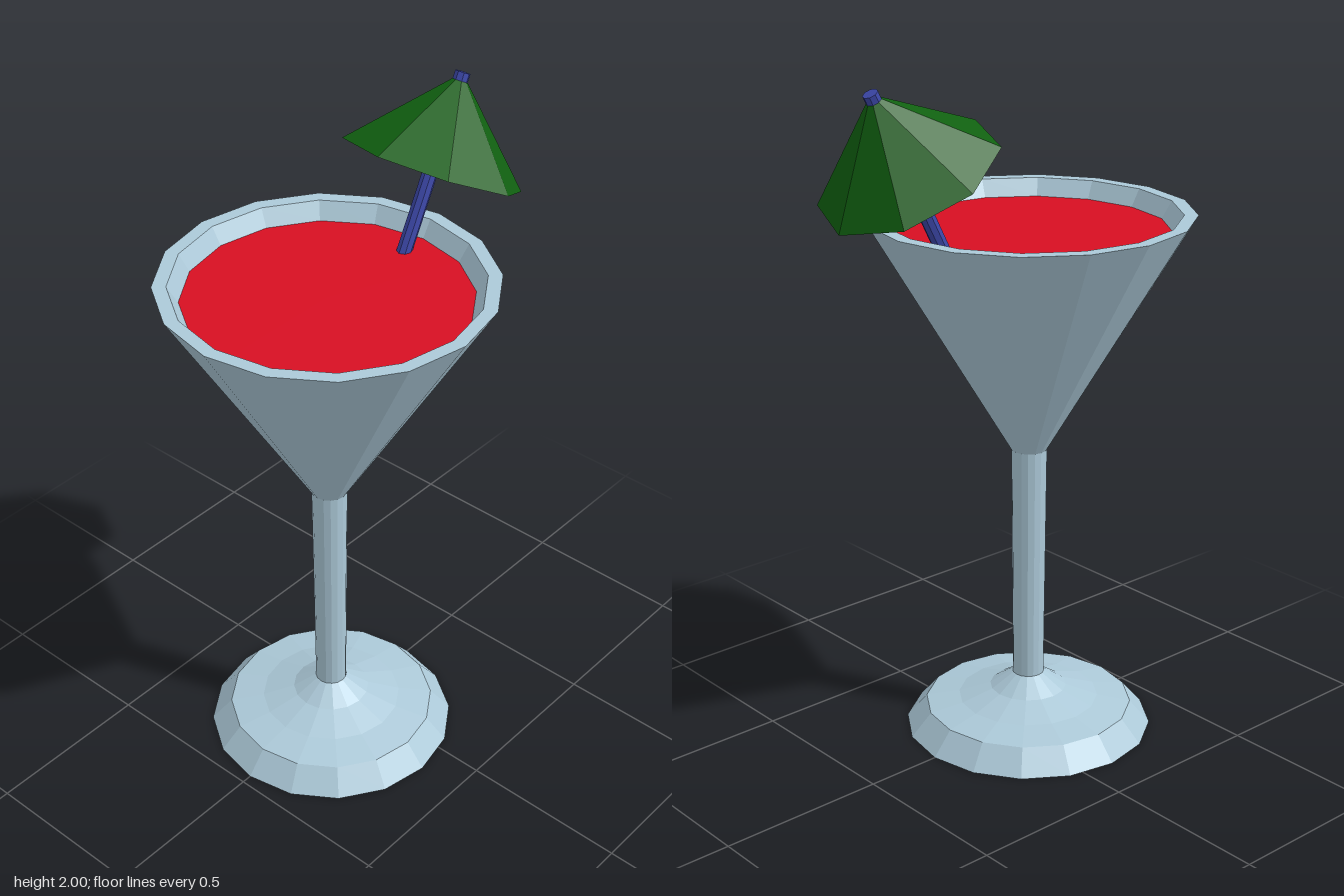
import * as THREE from 'three';

const flat = (name, color, side = THREE.FrontSide) => {
  const m = new THREE.MeshStandardMaterial({ color, flatShading: true, side });
  m.name = name;
  return m;
};

export function createModel() {
  const glassMat = flat('pale blue glass', 0xacc9d8);
  const drinkMat = flat('red drink', 0xd70f22);
  const canopyMat = flat('green paper', 0x106010, THREE.DoubleSide);
  const stickMat = flat('blue stick', 0x3c47a8);

  const model = new THREE.Group();
  model.name = 'cocktail';

  const add = (parent, name, geometry, material, y = 0) => {
    const mesh = new THREE.Mesh(geometry, material);
    mesh.name = name;
    mesh.position.y = y;
    parent.add(mesh);
    return mesh;
  };
  const lathe = (profile) =>
    new THREE.LatheGeometry(profile.map(([r, y]) => new THREE.Vector2(r, y)), 16);

  // Glass: stepped foot, slim stem and conical bowl with a thick rim
  const glass = new THREE.Group();
  glass.name = 'glass';
  glass.position.x = -0.1;
  model.add(glass);
  add(glass, 'foot', lathe([
    [0, 0], [0.37, 0], [0.31, 0.07], [0.21, 0.088], [0.115, 0.12], [0.047, 0.165],
  ]), glassMat);
  add(glass, 'stem', lathe([[0.046, 0.16], [0.052, 0.885]]), glassMat);
  add(glass, 'bowl', lathe([
    [0, 0.885], [0.053, 0.885], [0.47, 1.59], [0.43, 1.59], [0.4, 1.54], [0, 0.93],
  ]), glassMat);

  // Drink surface just below the rim
  add(glass, 'drink', new THREE.CircleGeometry(0.4, 16).rotateX(-Math.PI / 2), drinkMat, 1.54);

  // Paper umbrella leaning over the rim; its origin is the centre of the canopy's edge
  const umbrella = new THREE.Group();
  umbrella.name = 'umbrella';
  umbrella.position.set(0.333, 1.76, 0);
  umbrella.rotation.z = -0.476;
  model.add(umbrella);
  add(umbrella, 'canopy', new THREE.ConeGeometry(0.262, 0.262, 8, 1, true), canopyMat, 0.131);
  const top = 0.264, bottom = -0.29;
  add(umbrella, 'stick', new THREE.CylinderGeometry(0.022, 0.022, top - bottom, 8),
    stickMat, (top + bottom) / 2);

  return model;
}
